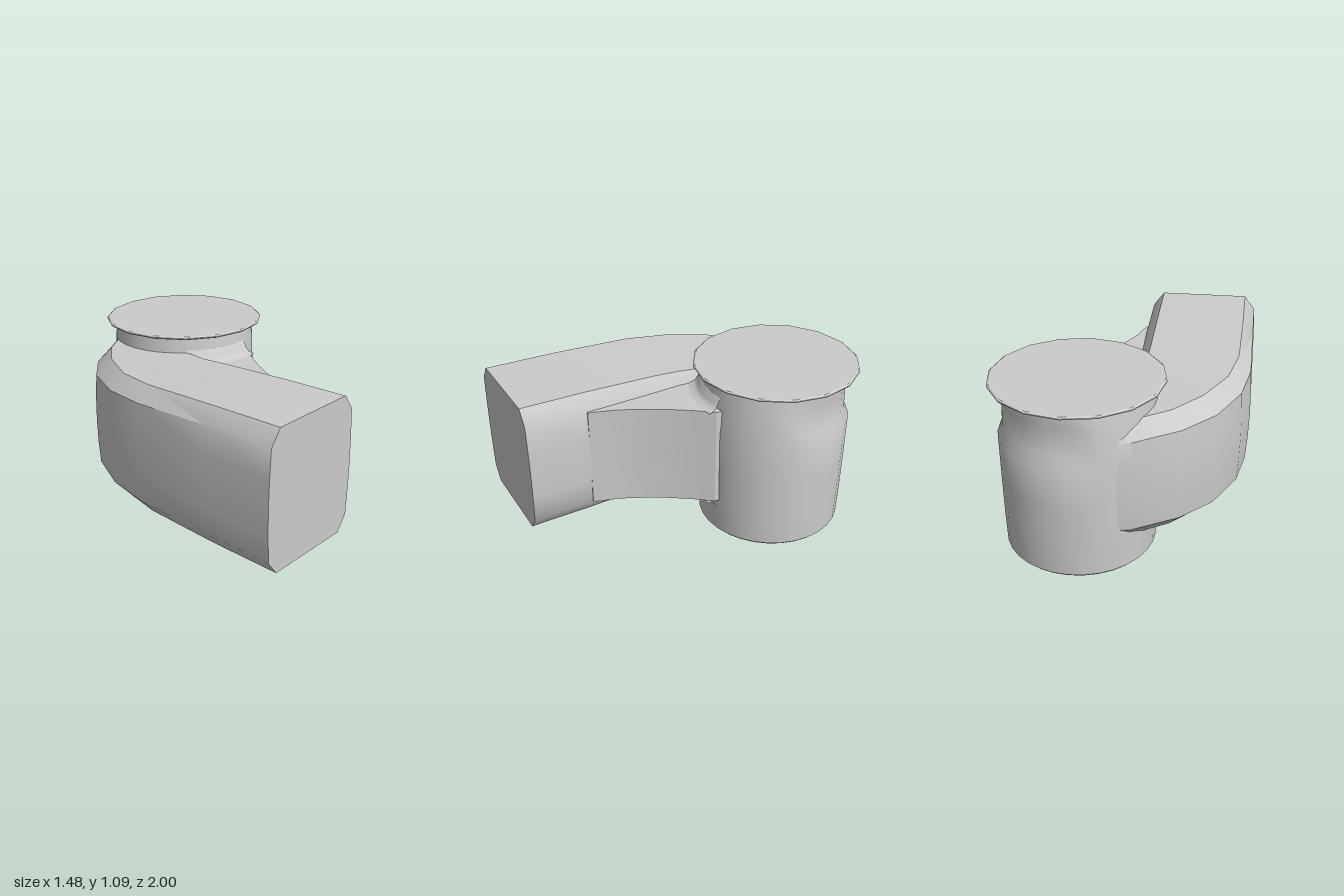
import * as THREE from 'three';
import { toCreasedNormals } from 'three/addons/utils/BufferGeometryUtils.js';

const CX = 0.24, CZ = -0.5; // axis of the canister
const grey = new THREE.MeshStandardMaterial({ color: 0xcccccc });
const greyDouble = new THREE.MeshStandardMaterial({ color: 0xcccccc, side: THREE.DoubleSide });

function lathe(profile, segments, start = 0, length = Math.PI * 2) {
  return new THREE.LatheGeometry(profile.map(p => new THREE.Vector2(...p)), segments, start, length);
}

function part(name, geometry, material = grey) {
  const mesh = new THREE.Mesh(geometry, material);
  mesh.name = name;
  return mesh;
}

// Upright canister with a shallow domed base; its neck steps in at the back right
function canisterGeometry() {
  const geo = lathe([[0, 0.003], [0.25, 0.012], [0.4, 0.028], [0.435, 0.036], [0.448, 0.05],
    [0.454, 0.25], [0.457, 0.5], [0.459, 0.75], [0.452, 0.82], [0.447, 0.98], [0.436, 1.04], [0.434, 1.075]], 32);
  const p = geo.attributes.position;
  for (let i = 0; i < p.count; i++) {
    const x = p.getX(i), y = p.getY(i), z = p.getZ(i);
    if (y < 0.8 || y > 1) continue;
    const toward = (x - z) / Math.hypot(x, z) / Math.SQRT2; // 1 at the back right
    const k = 1 - 0.05 * THREE.MathUtils.smoothstep(toward, 0.35, 0.7);
    p.setXYZ(i, x * k, y, z * k);
  }
  const creased = toCreasedNormals(geo, 0.6);
  return creased;
}

// Duct: chamfered sections swept from the open end around the bend into the canister.
// Each row: outer x, outer z, inner x, inner z, bottom y, top y, outer chamfer width
function ductGeometry() {
  const rows = [
    [-0.74, 1, -0.02, 1, 0.18, 1.01, 0.08],
    [-0.735, 0.55, -0.02, 0.6, 0.185, 1.005, 0.08],
    [-0.73, 0.05, -0.02, 0.15, 0.2, 0.99, 0.09],
    [-0.68, -0.23, -0.02, 0, 0.21, 0.98, 0.1],
    [-0.55, -0.5, 0, -0.15, 0.215, 0.975, 0.11],
    [-0.37, -0.69, 0.04, -0.28, 0.22, 0.97, 0.1],
    [-0.11, -0.85, 0.12, -0.4, 0.225, 0.965, 0.09],
    [0.1, -0.9, 0.2, -0.48, 0.23, 0.96, 0.08]
  ];
  const rings = rows.map(([ox, oz, ix, iz, lo, hi, c]) => {
    const width = Math.hypot(ix - ox, iz - oz), mid = (lo + hi) / 2;
    const w = c / width, v = 0.08 / width, e = 0.012 / width;
    return [[w, lo], [1 - v, lo], [1 - e, lo + 0.09], [1 - e / 4, mid - 0.15], [1, mid], [1 - e / 4, mid + 0.15],
      [1 - e, hi - 0.09], [1 - v, hi], [w, hi], [e, hi - 0.09], [e / 4, mid + 0.15], [0, mid],
      [e / 4, mid - 0.15], [e, lo + 0.09]]
      .map(([u, y]) => [ox + (ix - ox) * u, y, oz + (iz - oz) * u]);
  });
  const n = rings[0].length, index = [];
  for (let j = 0; j < rings.length - 1; j++) {
    for (let i = 0; i < n; i++) {
      const a = j * n + i, b = j * n + (i + 1) % n, d = a + n, c = b + n;
      index.push(a, d, b, b, d, c);
    }
  }
  for (let i = 1; i < n - 1; i++) index.push(0, i, i + 1); // flat front end
  const geo = new THREE.BufferGeometry();
  geo.setAttribute('position', new THREE.Float32BufferAttribute(rings.flat(2), 3));
  geo.setIndex(index);
  return toCreasedNormals(geo, 0.6);
}

// Web filling the inside of the bend, its free face gently curved
function webGeometry() {
  const plan = [[-0.1, 0.62], [-0.022, 0.62], [0.03, 0.46], [0.1, 0.32], [0.17, 0.2], [0.25, 0.085],
    [0.34, -0.03], [0.36, -0.2], [0, -0.25], [-0.1, 0]];
  const shape = new THREE.Shape(plan.map(([x, z]) => new THREE.Vector2(x, -z)));
  const geo = new THREE.ExtrudeGeometry(shape, { depth: 0.635, bevelEnabled: false });
  geo.rotateX(-Math.PI / 2).translate(0, 0.277, 0);
  return toCreasedNormals(geo, 0.5);
}

export function createModel() {
  const model = new THREE.Group();
  model.name = 'elbowDuctWithCanister';

  const canister = new THREE.Group();
  canister.name = 'canister';
  canister.position.set(CX, 0, CZ);
  canister.add(part('canisterBody', canisterGeometry()));

  // Thin sixteen-sided lid
  const lid = lathe([[0.42, 1.07], [0.485, 1.07], [0.5, 1.077], [0.5, 1.083], [0.49, 1.09], [0, 1.09]], 16);
  canister.add(part('lid', toCreasedNormals(lid, 0.5)));

  // Fillets where the web meets the canister, above and below
  const profile = [[0.525, 0.912], [0.485, 0.922], [0.467, 0.945], [0.455, 0.975], [0.435, 1.0]];
  canister.add(part('upperFillet', lathe(profile, 10, -0.78, 0.97), greyDouble));
  const lower = profile.map(([r, y]) => [r, 1.19 - y]).reverse();
  canister.add(part('lowerFillet', lathe(lower, 10, -0.78, 0.97), greyDouble));

  model.add(canister, part('duct', ductGeometry()), part('web', webGeometry()));
  return model;
}
